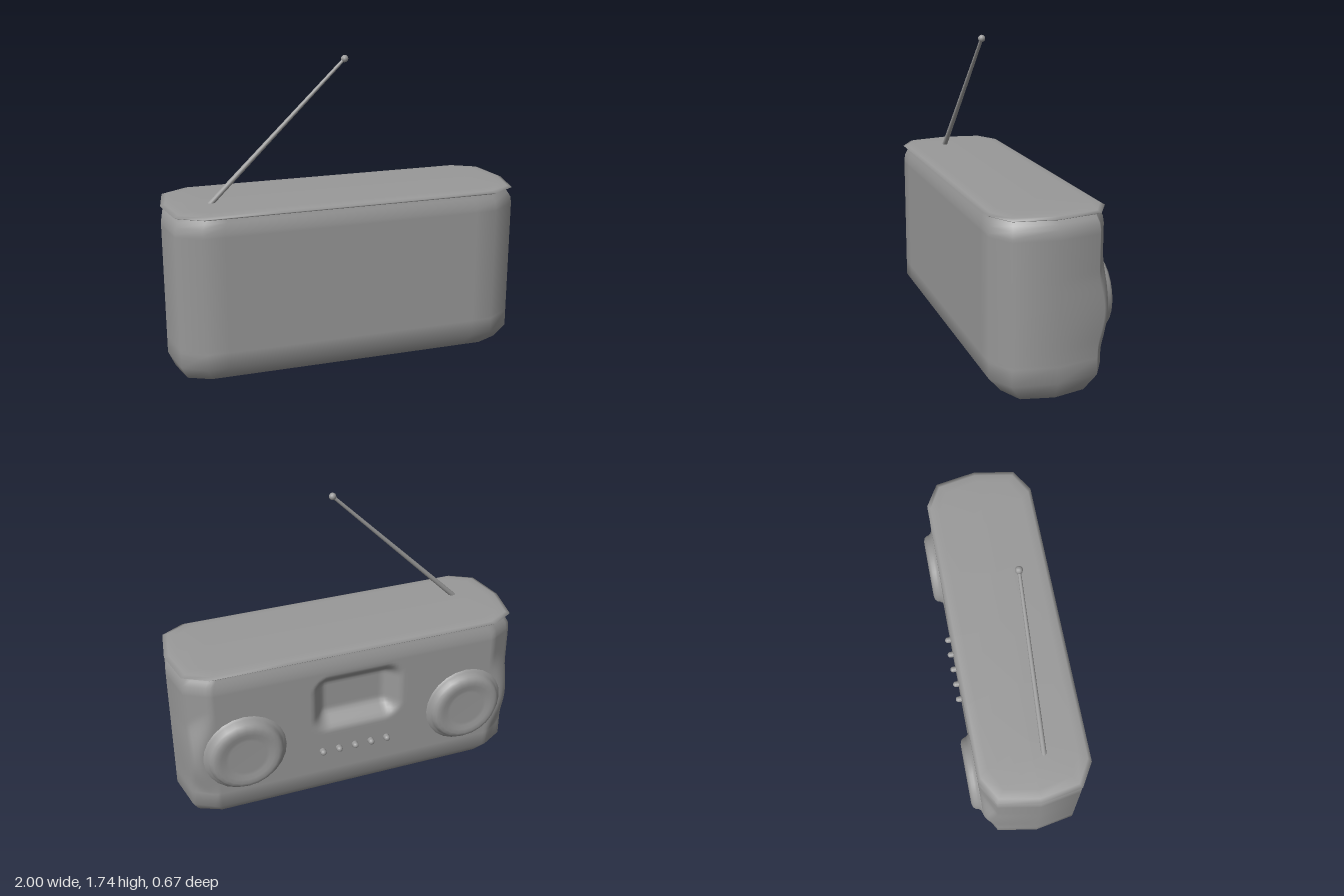
import * as THREE from 'three';

const material = new THREE.MeshStandardMaterial({ color: 0x999999 });
const { smoothstep, lerp } = THREE.MathUtils;
const CENTER_Z = 0.025, HALF_DEPTH = 0.305, BACK_Z = CENTER_Z - HALF_DEPTH;
const SPEAKER_X = 0.66, SPEAKER_Y = 0.46;

function add(parent, name, geometry, position = [0, 0, 0]) {
  const mesh = new THREE.Mesh(geometry, material);
  mesh.name = name;
  mesh.position.set(...position);
  parent.add(mesh);
}

// Chamfered plan outline, counter-clockwise from +x, with subdivided sides
function planOutline(frontSegments, backSegments, chamferSegments) {
  const points = [[1, 0]];
  const run = (x0, z0, x1, z1, n) => {
    for (let i = 0; i < n; i++) points.push([lerp(x0, x1, i / n), lerp(z0, z1, i / n)]);
  };
  points.push([0.96, 0.75]);
  run(0.83, 1, -0.83, 1, frontSegments);
  points.push([-0.83, 1], [-0.96, 0.75], [-1, 0]);
  run(-0.96, -0.75, -0.83, -1, chamferSegments);
  run(-0.83, -1, 0.83, -1, backSegments);
  run(0.83, -1, 0.96, -0.75, chamferSegments);
  points.push([0.96, -0.75]);
  return points;
}

// Skin rows of [y, half width, depth factor] from bottom to top
function loft(outline, rows, shapeBack = (x, y, z) => z) {
  const positions = [], index = [], n = outline.length;
  for (const [y, hx, depth] of rows) {
    for (const [px, pz] of outline) {
      const x = px * hx, z = CENTER_Z + pz * depth * HALF_DEPTH;
      positions.push(x, y, pz < 0 ? shapeBack(x, y, z) : z);
    }
  }
  for (let r = 0; r < rows.length - 1; r++) {
    for (let i = 0; i < n; i++) {
      const a = r * n + i, b = r * n + (i + 1) % n;
      index.push(a, a + n, b, b, a + n, b + n);
    }
  }
  const geometry = new THREE.BufferGeometry();
  geometry.setAttribute('position', new THREE.Float32BufferAttribute(positions, 3));
  geometry.setIndex(index);
  geometry.computeVertexNormals();
  return geometry;
}

// Back face: soft swell around the speakers and a rounded display recess
function shapeBack(x, y, z) {
  const reach = Math.hypot(Math.abs(x) - SPEAKER_X, y - SPEAKER_Y);
  const swollen = lerp(z, Math.min(z, BACK_Z), 1 - smoothstep(reach, 0.23, 0.36));
  const r = 0.08;
  const qx = Math.abs(x) - (0.245 - r), qy = Math.abs(y - 0.66) - (0.16 - r);
  const d = Math.hypot(Math.max(qx, 0), Math.max(qy, 0)) + Math.min(Math.max(qx, qy), 0) - r;
  return swollen + 0.085 * (1 - smoothstep(d, -0.075, 0.025));
}

export function createModel() {
  const model = new THREE.Group();
  model.name = 'radio';

  // Body: faceted base, straight walls, narrow neck under the lid
  const rows = [[0.005, 0.85, 0], [0.03, 0.96, 0.75], [0.12, 1, 1]];
  for (let i = 0; i <= 40; i++) rows.push([lerp(0.21, 0.88, i / 40), 1, 1]);
  rows.push([0.915, 0.995, 0.985], [0.94, 0.98, 0.955], [0.967, 0.96, 0.93]);
  add(model, 'body', loft(planOutline(14, 88, 6), rows, shapeBack));

  // Lid with a thin overhanging rim and a gently rounded top edge
  add(model, 'lid', loft(planOutline(4, 4, 1), [
    [0.955, 0.95, 0.92], [0.961, 0.98, 0.975], [0.97, 1, 1.01],
    [0.979, 0.975, 0.95], [0.984, 0.93, 0.8], [0.986, 0.8, 0],
  ]));

  // Speakers: low rounded rims with faintly dished centres
  const profile = [
    [0.245, -0.02], [0.236, 0.001], [0.222, 0.006], [0.212, 0.02], [0.207, 0.036],
    [0.195, 0.049], [0.175, 0.055], [0.15, 0.053], [0.125, 0.047], [0.105, 0.045], [0, 0.045],
  ].map(([r, h]) => new THREE.Vector2(r, h));
  const speaker = new THREE.LatheGeometry(profile, 24).rotateX(-Math.PI / 2);
  for (const side of [1, -1]) {
    add(model, side > 0 ? 'leftSpeaker' : 'rightSpeaker', speaker, [side * SPEAKER_X, SPEAKER_Y, BACK_Z]);
  }

  // Row of small domed buttons below the display
  const button = new THREE.CapsuleGeometry(0.018, 0.03, 5, 12).rotateX(Math.PI / 2);
  for (let i = 0; i < 5; i++) {
    add(model, 'button', button, [0.02 + (i - 2) * 0.097, 0.35, BACK_Z - 0.002]);
  }

  // Slanted telescopic antenna with a ball tip
  const base = new THREE.Vector3(-0.755, 0.965, 0.09);
  const direction = new THREE.Vector3(0.012, 1.722, 0.09).sub(base);
  const length = direction.length();
  const antenna = new THREE.Group();
  antenna.name = 'antenna';
  antenna.position.copy(base);
  antenna.quaternion.setFromUnitVectors(new THREE.Vector3(0, 1, 0), direction.normalize());
  add(antenna, 'antennaRod', new THREE.CylinderGeometry(0.009, 0.015, length, 12), [0, length / 2, 0]);
  add(antenna, 'antennaTip', new THREE.SphereGeometry(0.02, 12, 8), [0, length, 0]);
  model.add(antenna);

  return model;
}
